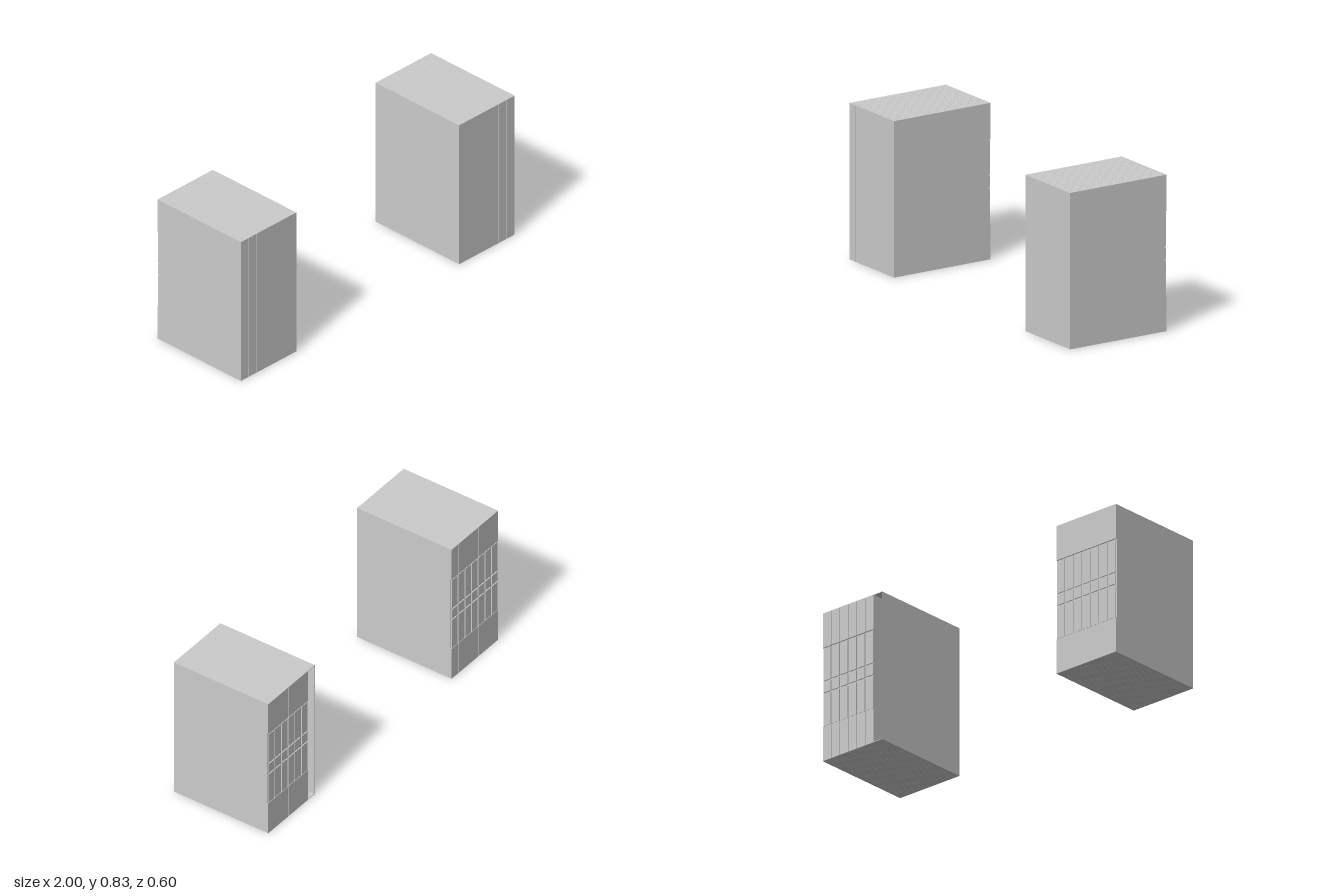
import * as THREE from 'three';

const COUNT = 7, PITCH = 0.058, T = 0.0572; // slim cases per stack, spacing, case thickness
const H = 0.832, Z = 0.298;                 // case height, half depth
const FLAP = 0.003;
const mat = new THREE.MeshStandardMaterial({ color: 0xcccccc, flatShading: true });

// Box given by its extents on each axis
function slab(parent, name, [x0, x1], [y0, y1], [z0, z1]) {
  const mesh = new THREE.Mesh(new THREE.BoxGeometry(x1 - x0, y1 - y0, z1 - z0), mat);
  mesh.position.set((x0 + x1) / 2, (y0 + y1) / 2, (z0 + z1) / 2);
  mesh.name = name;
  parent.add(mesh);
}

// Top and bottom flaps meeting at a centre seam
function addFlaps(g, back) {
  for (const y of [0, H - FLAP]) {
    slab(g, 'endFlap', [-T / 2, -0.0004], [y, y + FLAP], [back, Z]);
    slab(g, 'endFlap', [0.0004, T / 2], [y, y + FLAP], [back, Z]);
  }
}

// Closed case: full body with a recessed, three-part band across its back
function closedCase() {
  const g = new THREE.Group();
  g.name = 'closedCase';
  const h = T / 2, back = -Z + 0.007;
  slab(g, 'body', [-h, h], [FLAP, H - FLAP], [back, Z]);
  addFlaps(g, back);
  for (const [y0, y1] of [[0, 0.193], [0.638, H]])
    slab(g, 'backPlate', [-h, h], [y0, y1], [-Z, back]);
  for (const [y0, y1] of [[0.195, 0.375], [0.384, 0.442], [0.451, 0.632]])
    slab(g, 'backStrip', [-h + 0.004, h - 0.004], [y0, y1], [-Z + 0.001, back]);
  return g;
}

// Open case: thin walls with nothing across the back
function openCase() {
  const g = new THREE.Group();
  g.name = 'openCase';
  const h = T / 2, w = 0.002;
  for (const x of [-h, h - w])
    slab(g, 'sideWall', [x, x + w], [FLAP, H - FLAP], [-Z, Z]);
  slab(g, 'frontWall', [-h + w, h - w], [FLAP, H - FLAP], [Z - w, Z]);
  addFlaps(g, -Z);
  return g;
}

export function createModel() {
  const model = new THREE.Group();
  model.name = 'twoStacks';
  for (const side of [-1, 1]) {
    const stack = new THREE.Group();
    stack.name = side < 0 ? 'rightStack' : 'leftStack';
    for (let i = 0; i < COUNT; i++) {
      // the innermost case of the left stack is left open
      const unit = side > 0 && i === 0 ? openCase() : closedCase();
      unit.position.x = (i - (COUNT - 1) / 2) * PITCH;
      stack.add(unit);
    }
    stack.position.x = side * (1 - (COUNT - 1) / 2 * PITCH - T / 2);
    model.add(stack);
  }
  return model;
}
